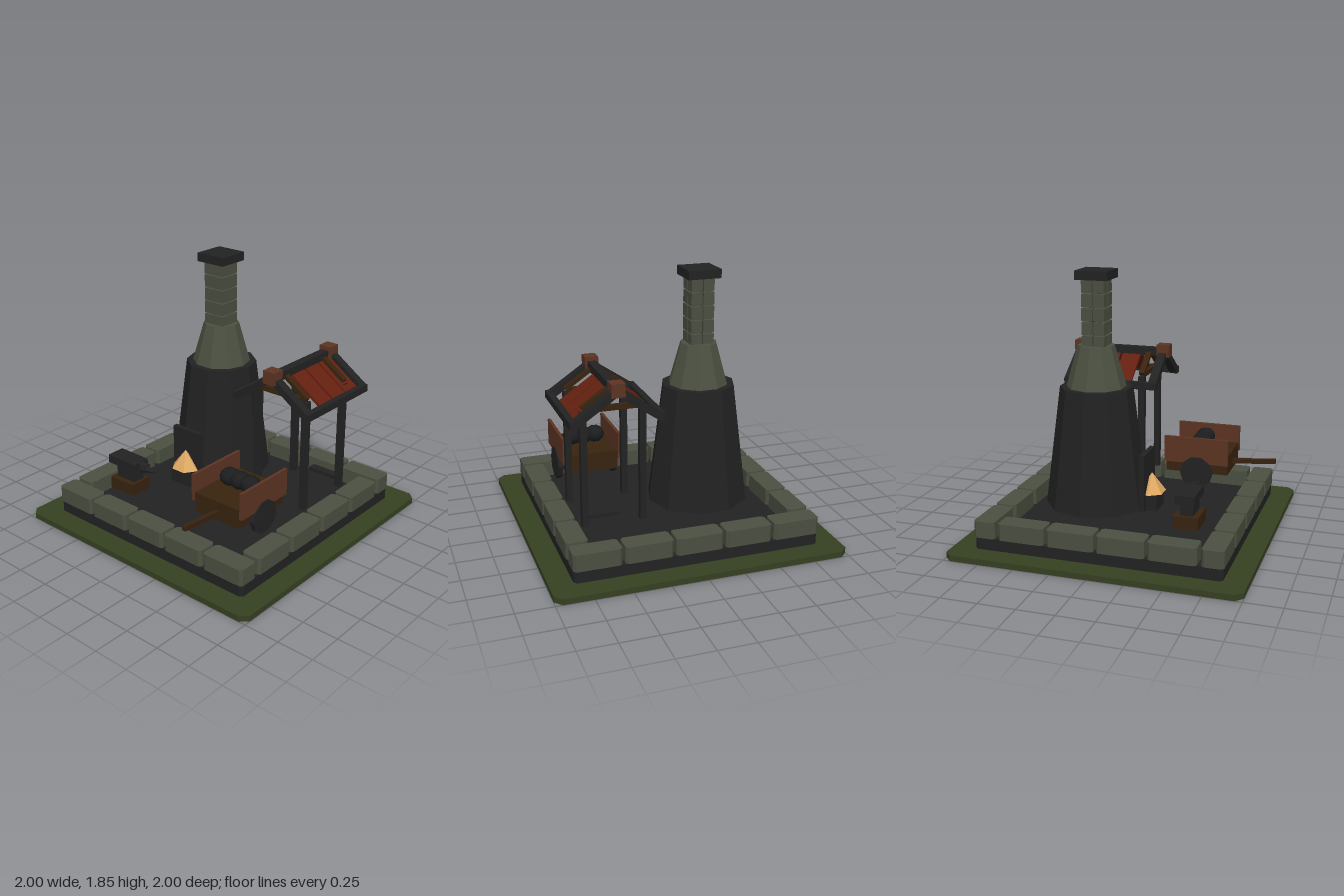
import * as THREE from 'three';

const mat = (name, color) => {
  const m = new THREE.MeshStandardMaterial({ color });
  m.name = name;
  return m;
};

export function createModel() {
  const grass = mat('grass', 0x354021);
  const dark = mat('darkStone', 0x222223);
  const stone = mat('stone', 0x4b5041);
  const red = mat('roofRed', 0x64200f);
  const wood = mat('wood', 0x38230f);
  const redWood = mat('redWood', 0x5c3423);
  const flameMat = mat('flame', 0xdda763);
  const coalMat = mat('coal', 0x1b1d1f);

  const root = new THREE.Group();
  root.name = 'forgeYard';
  const group = (name) => {
    const g = new THREE.Group();
    g.name = name;
    root.add(g);
    return g;
  };
  const add = (parent, name, geo, material, x = 0, y = 0, z = 0) => {
    const m = new THREE.Mesh(geo, material);
    m.name = name;
    m.position.set(x, y, z);
    parent.add(m);
    return m;
  };
  // Box given by its limits on each axis
  const box = (parent, name, material, x0, x1, y0, y1, z0, z1) =>
    add(parent, name, new THREE.BoxGeometry(x1 - x0, y1 - y0, z1 - z0), material,
      (x0 + x1) / 2, (y0 + y1) / 2, (z0 + z1) / 2);
  // Upright slab with cut corners, standing on y
  const slab = (parent, name, material, w, d, h, c, x, y, z) => {
    const a = w / 2, b = d / 2;
    const s = new THREE.Shape([
      [a - c, -b], [a, c - b], [a, b - c], [a - c, b], [c - a, b], [-a, b - c], [-a, c - b], [c - a, -b],
    ].map(([u, v]) => new THREE.Vector2(u, v)));
    const geo = new THREE.ExtrudeGeometry(s, { depth: h, bevelEnabled: false });
    geo.rotateX(-Math.PI / 2);
    return add(parent, name, geo, material, x, y, z);
  };
  const facet = (geo) => {
    const g = geo.index ? geo.toNonIndexed() : geo;
    g.computeVertexNormals();
    return g;
  };
  const GROUND = 0.233;

  // Ground and ring of edge stones
  const base = group('base');
  slab(base, 'grass', grass, 2, 2, 0.04, 0.05, 0, 0, 0);
  slab(base, 'floor', dark, 1.685, 1.685, 0.08, 0.02, 0, 0.04, 0);
  for (const s of [-1, 1]) {
    for (let i = -2; i <= 2; i++) {
      slab(base, 'edgeStone', stone, 0.322, 0.147, 0.115, 0.018, i * 0.342, 0.12, s * 0.775);
    }
    for (let i = -1.5; i <= 1.5; i++) {
      slab(base, 'edgeStone', stone, 0.147, 0.322, 0.115, 0.018, s * 0.775, 0.12, i * 0.342);
    }
  }

  // Furnace: ten-sided body, stone hood, brick flue and cap
  const furnace = group('furnace');
  const fx = -0.215, fz = -0.2;
  const cone = (name, material, rTop, rBottom, y0, y1) =>
    add(furnace, name, facet(new THREE.CylinderGeometry(rTop, rBottom, y1 - y0, 10, 1, false, Math.PI / 2)),
      material, fx, (y0 + y1) / 2, fz);
  cone('furnaceBody', dark, 0.25, 0.355, GROUND, 1.06);
  cone('furnaceHood', stone, 0.125, 0.205, 1.06, 1.345);
  const rows = [[1.345, 1.413], [1.421, 1.506], [1.514, 1.6], [1.608, 1.694], [1.702, 1.79]];
  for (const [y0, y1] of rows) {
    for (const sx of [-1, 1]) {
      for (const sz of [-1, 1]) {
        add(furnace, 'flueBrick', new THREE.BoxGeometry(0.076, y1 - y0, 0.076), stone,
          fx + sx * 0.042, (y0 + y1) / 2, fz + 0.005 + sz * 0.042);
      }
    }
    add(furnace, 'flueJoint', new THREE.BoxGeometry(0.1, y1 - y0, 0.1), dark, fx, (y0 + y1) / 2, fz + 0.005);
  }
  add(furnace, 'flueCap', new THREE.BoxGeometry(0.228, 0.06, 0.228), dark, fx, 1.82, fz + 0.005);

  // Hearth plate with the fire in front
  box(furnace, 'hearthPlate', dark, -0.345, -0.095, GROUND, 0.63, 0.145, 0.18);
  box(furnace, 'hearthLedge', dark, -0.305, -0.125, GROUND, 0.344, 0.13, 0.255);
  const fire = add(furnace, 'fire', facet(new THREE.ConeGeometry(0.11, 0.135, 6, 1, false, Math.PI / 2)),
    flameMat, fx, 0.413, 0.197);
  fire.scale.z = 0.88;

  // Anvil on a wooden block
  const anvil = group('anvil');
  box(anvil, 'anvilBlock', wood, -0.558, -0.342, GROUND, 0.318, 0.442, 0.61);
  box(anvil, 'anvilWaist', dark, -0.53, -0.365, 0.318, 0.415, 0.48, 0.57);
  box(anvil, 'anvilFace', dark, -0.592, -0.335, 0.413, 0.472, 0.46, 0.592);
  box(anvil, 'anvilNeck', dark, -0.336, -0.27, 0.418, 0.467, 0.503, 0.549);
  const horn = add(anvil, 'anvilHorn', facet(new THREE.ConeGeometry(0.04, 0.12, 8)), dark, -0.25, 0.435, 0.526);
  horn.rotation.z = -Math.PI / 2;

  // Open shelter: posts, rafters, eaves, ridge and roof boards
  const shelter = group('shelter');
  const cx = 0.467, SLOPE = 0.68, angle = Math.atan(SLOPE);
  // Sloping piece on side s, running from u0 to u1 away from the ridge
  const sloped = (name, material, s, u0, u1, top, thick, z0, z1) => {
    const u = (u0 + u1) / 2;
    const m = add(shelter, name, new THREE.BoxGeometry((u1 - u0) / Math.cos(angle), thick, z1 - z0),
      material, cx + s * u, top - SLOPE * u, (z0 + z1) / 2);
    m.rotation.z = -s * angle;
  };
  for (const s of [-1, 1]) {
    for (const z of [-0.455, -0.028]) {
      box(shelter, 'post', dark, cx + s * 0.199 - 0.022, cx + s * 0.199 + 0.022, GROUND, 1.03, z - 0.022, z + 0.022);
      sloped('batten', wood, s, 0.03, 0.208, 1.19, 0.025, z - 0.02, z + 0.02);
    }
    for (const z of [-0.56, 0.075]) sloped('rafter', dark, s, 0, 0.3, 1.178, 0.05, z - 0.03, z + 0.03);
    for (const z of [-0.465, -0.315, -0.162]) {
      sloped('roofBoard', red, s, 0.015, 0.262, 1.165, 0.018, z - 0.068, z + 0.068);
    }
    const ex = cx + s * 0.293;
    box(shelter, 'eaveBeam', dark, ex - 0.022, ex + 0.022, 0.96, 1.01, -0.585, 0.108);
  }
  box(shelter, 'ridgeBeam', dark, cx - 0.03, cx + 0.03, 1.15, 1.208, -0.59, 0.1);
  for (const z of [-0.555, 0.08]) {
    box(shelter, 'ridgeCap', redWood, cx - 0.046, cx + 0.046, 1.145, 1.235, z - 0.047, z + 0.047);
  }
  for (const z of [-0.455, -0.028]) {
    box(shelter, 'tieBeam', wood, cx - 0.2, cx + 0.2, 1.02, 1.056, z - 0.016, z + 0.016);
  }
  box(shelter, 'footRail', dark, 0.43, 0.65, 0.292, 0.317, -0.485, -0.425);

  // Hand cart with coal
  const cart = group('cart');
  box(cart, 'cartBody', wood, 0.258, 0.635, 0.345, 0.482, 0.163, 0.617);
  for (const s of [-1, 1]) {
    const px = 0.447 + s * 0.203;
    box(cart, 'cartSide', redWood, px - 0.011, px + 0.011, 0.42, 0.61, 0.155, 0.623);
    const wheel = add(cart, 'wheel', facet(new THREE.CylinderGeometry(0.119, 0.119, 0.034, 10)), dark,
      px + s * 0.002, 0.354, 0.393);
    wheel.rotation.z = Math.PI / 2;
  }
  const pole = add(cart, 'cartPole', new THREE.BoxGeometry(0.032, 0.032, 0.34), wood, 0.447, 0.411, 0.763);
  pole.rotation.x = -0.08;
  [0.365, 0.45, 0.535].forEach((x, i) => {
    const lump = add(cart, 'coal', new THREE.IcosahedronGeometry(0.071, 1), coalMat, x, 0.545, 0.388);
    lump.scale.y = 0.88;
    lump.rotation.y = i * 0.7;
  });

  return root;
}
